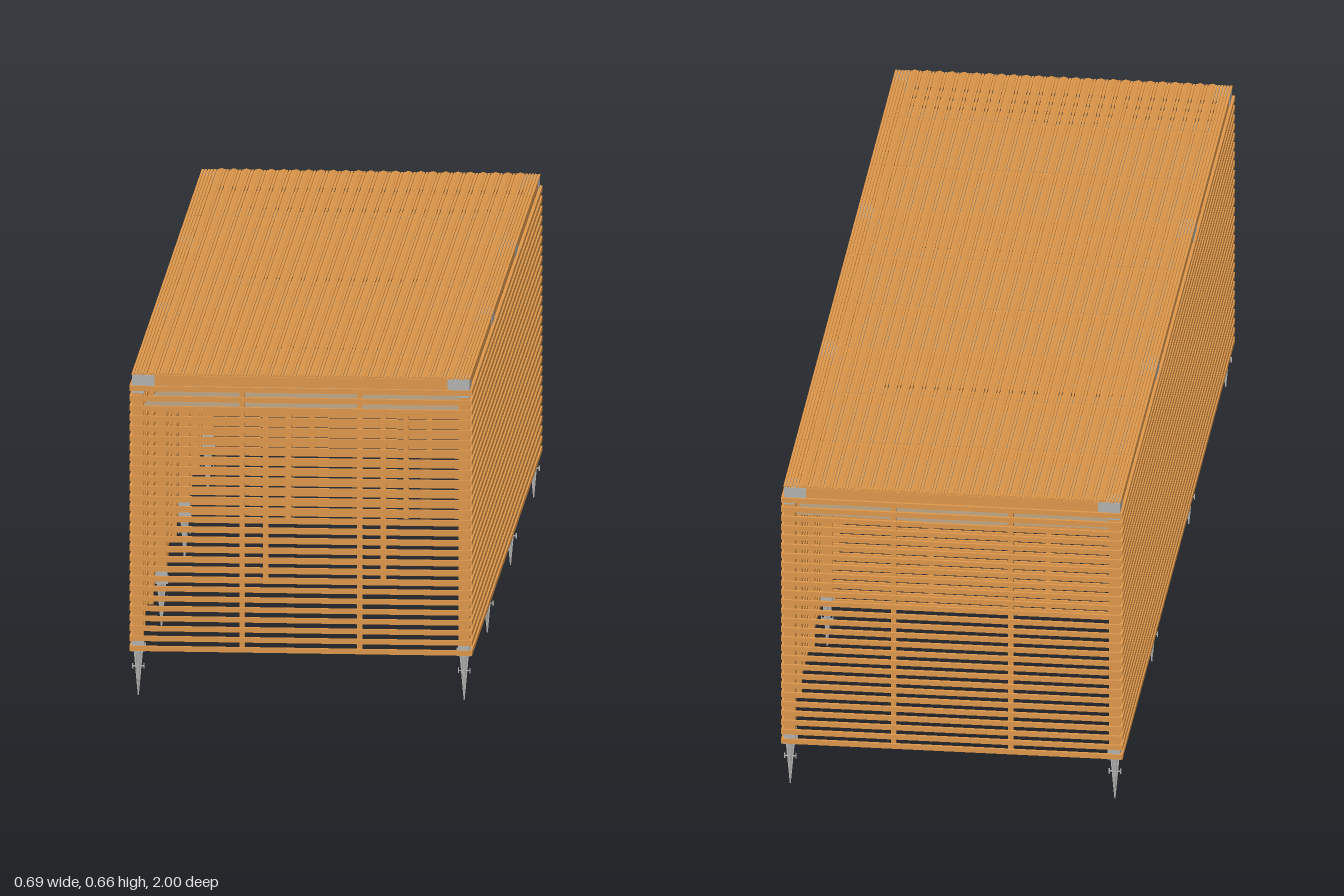
import * as THREE from 'three';
import { mergeGeometries } from 'three/addons/utils/BufferGeometryUtils.js';
import { ParametricGeometry } from 'three/addons/geometries/ParametricGeometry.js';

const wood = new THREE.MeshStandardMaterial({ color: 0xdc964a });
wood.name = 'warm timber';
const steel = new THREE.MeshStandardMaterial({ color: 0xb0b0ae });
steel.name = 'steel grey';
const cloth = new THREE.MeshStandardMaterial({ color: 0xab9678, side: THREE.DoubleSide });
cloth.name = 'beige shade cloth';

const PX = 0.327;                              // post centre in x
const PZ = [-0.984, -0.328, 0.328, 0.984];     // post centres in z
const BAYS = [-0.656, 0, 0.656];               // bay centres in z
const POST = 0.022, SLAT_H = 0.0102, SLAT_T = 0.006;
const slatY = Array.from({ length: 27 }, (_, i) => 0.0985 + i * 0.02046);

const box = (w, h, d, x, y, z) => new THREE.BoxGeometry(w, h, d).translate(x, y, z);

function add(group, name, geometries, material) {
  const mesh = new THREE.Mesh(mergeGeometries(geometries.map(g => g.index ? g.toNonIndexed() : g)), material);
  mesh.name = name;
  group.add(mesh);
}

// Pointed ground screw with crossed fins, a clamp plate and bolts
function spike(x, z) {
  const parts = [
    new THREE.CylinderGeometry(0.006, 0.001, 0.096, 8).translate(0, 0.048, 0),
    box(0.028, 0.004, 0.028, 0, 0.094, 0),
    box(0.022, 0.002, 0.003, 0, 0.06, 0),
    box(0.003, 0.002, 0.022, 0, 0.06, 0),
  ];
  const fin = new THREE.Shape();
  fin.moveTo(-0.001, 0);
  fin.lineTo(0.001, 0);
  fin.lineTo(0.0095, 0.094);
  fin.lineTo(-0.0095, 0.094);
  for (let i = 0; i < 2; i++) {
    parts.push(new THREE.ExtrudeGeometry(fin, { depth: 0.002, bevelEnabled: false })
      .translate(0, 0, -0.001).rotateY(i * Math.PI / 2));
  }
  for (let i = 0; i < 4; i++) {
    const a = i * Math.PI / 2, c = Math.cos(a), s = Math.sin(a);
    parts.push(box(0.0025, 0.011, 0.0025, 0.0115 * c, 0.06, 0.0115 * s));
    parts.push(box(0.003, 0.014, 0.003, 0.0135 * c, 0.1, 0.0135 * s));
  }
  return parts.map(g => g.translate(x, 0, z));
}

// Shade cloth with inward curved edges, hung from the four posts of a bay
function sail(zc) {
  const half = 0.321;
  return new ParametricGeometry((a, b, p) => {
    const u = a * 2 - 1, v = b * 2 - 1;
    p.set(
      u * (half - 0.02 * (1 - v * v)),
      0.575 + 0.015 * Math.abs(u * v),
      zc + v * (half - 0.02 * (1 - u * u)));
  }, 16, 16);
}

export function createModel() {
  const model = new THREE.Group();
  model.name = 'slattedPergola';
  const posts = [], beams = [], brackets = [], spikes = [];

  // Posts, their feet and the top connectors
  for (const x of [-PX, PX]) {
    for (const z of PZ) {
      posts.push(box(POST, 0.542, POST, x, 0.369, z));
      brackets.push(box(0.0236, 0.024, 0.0236, x, 0.108, z));
      brackets.push(box(0.0236, 0.037, 0.0236, x, 0.6385, z));
      const inX = x - Math.sign(x) * 0.0105;
      brackets.push(box(0.0446, 0.0215, 0.0236, inX, 0.6463, z));
      const end = Math.abs(z) > 0.9;
      brackets.push(box(0.0236, 0.0215, end ? 0.046 : 0.07, x, 0.6463, end ? z - Math.sign(z) * 0.011 : z));
      spikes.push(...spike(x, z));
    }
    beams.push(box(POST, 0.0205, 1.99, x, 0.6463, 0));
  }
  for (const z of PZ) beams.push(box(PX * 2, 0.0205, POST, 0, 0.6463, z));
  add(model, 'posts', posts, wood);
  add(model, 'topBeams', beams, wood);
  add(model, 'brackets', brackets, steel);
  add(model, 'groundSpikes', spikes, steel);

  // Horizontal wall slats: two long sides, two ends, two partitions
  const sides = [], ends = [], partitions = [];
  for (const y of slatY) {
    for (const s of [-1, 1]) {
      sides.push(box(SLAT_T, SLAT_H, 1.988, s * 0.341, y, 0));
      ends.push(box(0.688, SLAT_H, SLAT_T, 0, y, s * 0.997));
      partitions.push(box(0.632, SLAT_H, SLAT_T, 0, y, s * 0.328));
    }
  }
  add(model, 'sideSlats', sides, wood);
  add(model, 'endSlats', ends, wood);
  add(model, 'partitionSlats', partitions, wood);

  // Upright battens at the thirds of every wall, and roof joists above them
  const battens = [], joists = [];
  for (const s of [-1, 1]) {
    for (const z of PZ) {
      const zz = Math.abs(z) > 0.9 ? Math.sign(z) * 0.989 : z - Math.sign(z) * 0.008;
      battens.push(box(0.0105, 0.543, 0.01, s * 0.118, 0.365, zz));
    }
    for (const zc of BAYS) {
      const z = zc + s * 0.115;
      for (const x of [-0.333, 0.333]) battens.push(box(0.01, 0.543, 0.0105, x, 0.365, z));
      joists.push(box(0.64, 0.018, 0.0105, 0, 0.646, z));
    }
  }
  add(model, 'wallBattens', battens, wood);
  add(model, 'roofJoists', joists, wood);

  // Fine roof strips with a raised rib at every fourth, jointed over the joists
  const strips = [], ribs = [];
  const joints = [-0.996, -0.771, -0.541, -0.115, 0.115, 0.541, 0.771, 0.996];
  for (let j = 0; j < joints.length - 1; j++) {
    const length = joints[j + 1] - joints[j] - 0.002;
    const z = (joints[j] + joints[j + 1]) / 2;
    for (let i = -54; i <= 54; i++) {
      const x = i * 0.00625;
      if (i % 4 === 0 && Math.abs(i) <= 48) {
        ribs.push(new THREE.CylinderGeometry(0.0055, 0.0055, length, 6)
          .rotateX(Math.PI / 2).scale(1, 0.5, 1).translate(x, 0.6595, z));
      } else {
        strips.push(box(0.0046, 0.003, length, x, 0.6585, z));
      }
    }
  }
  add(model, 'roofStrips', strips, wood);
  add(model, 'roofRibs', ribs, wood);

  // One shade cloth per bay
  for (const zc of BAYS) add(model, 'shadeCloth', [sail(zc)], cloth);

  return model;
}
